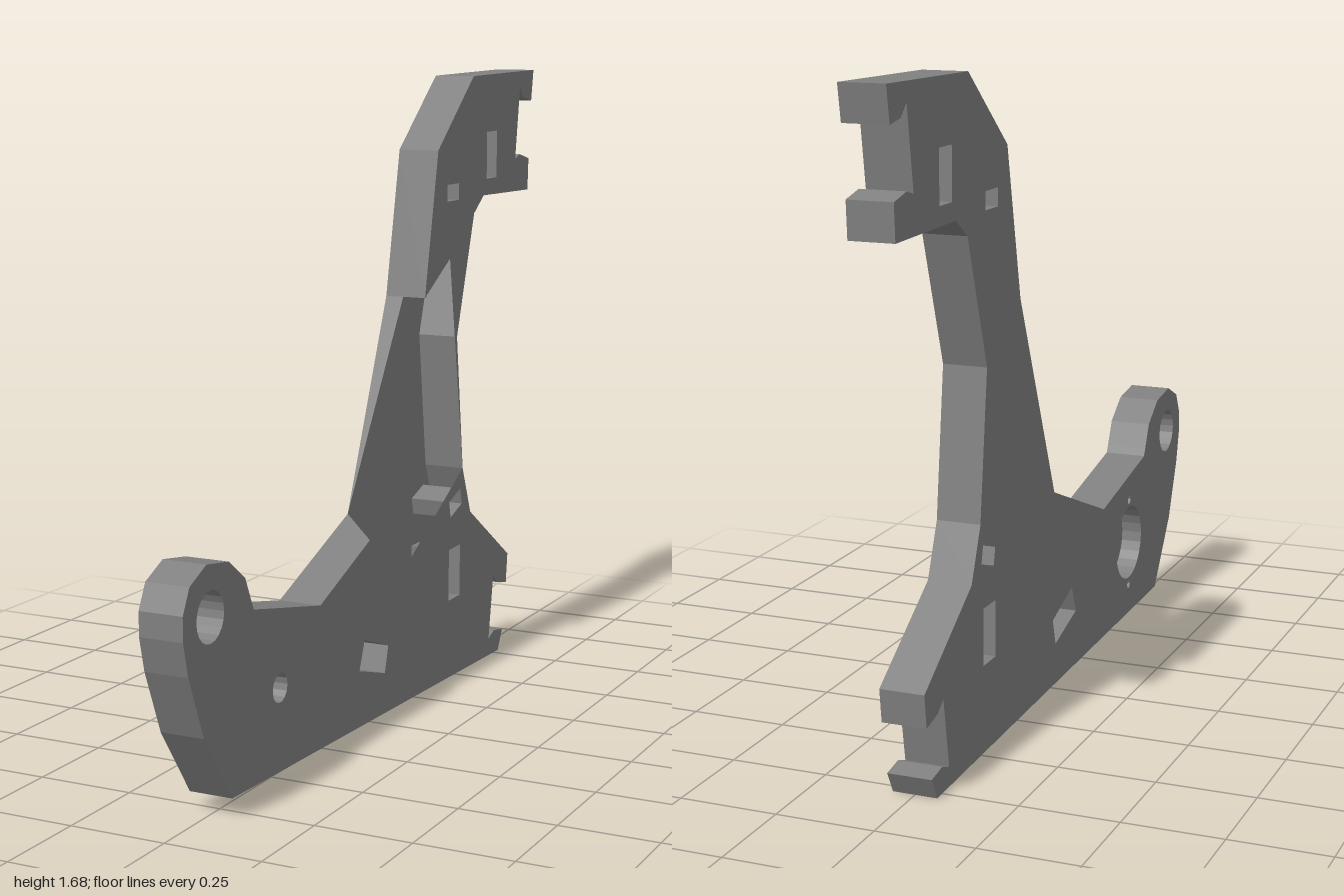
import * as THREE from 'three';

const T = 0.057;          // half thickness of the plate
const BORE = 0.0;         // depth plane of the counterbore floor

// Profile points are [u, y], with u running towards the back (u = -z).
const chain = {
  lower: [[-0.345, 0.405], [-0.68, 0.475], [-0.69, 0.495], [-0.72, 0.56], [-0.795, 0.615], [-0.895, 0.63],
    [-0.97, 0.595], [-1, 0.535], [-1, 0.475], [-0.98, 0.39], [-0.915, 0.23], [-0.79, 0.05], [0.78, 0.003],
    [0.81, 0.06], [0.75, 0.07], [0.71, 0.055], [0.74, 0.235], [0.77, 0.21], [0.835, 0.195], [0.845, 0.28],
    [0.57, 0.46], [0.515, 0.595]],
  upper: [[0.47, 0.97], [0.58, 1.3], [0.645, 1.345], [0.965, 1.34], [0.97, 1.43], [0.905, 1.445], [0.87, 1.435],
    [0.9, 1.635], [0.93, 1.605], [0.985, 1.595], [1, 1.683], [0.57, 1.675], [0.34, 1.485], [0.26, 1.1]],
};
const neck = [0.03, 0.55], lip = [-0.07, 0.512];

const rect = (u0, y0, u1, y1) => [[u0, y0], [u0, y1], [u1, y1], [u1, y0]];
const circle = (u, y, r, n) => Array.from({ length: n }, (_, i) => {
  const a = -2 * Math.PI * i / n;
  return [u + r * Math.cos(a), y + r * Math.sin(a)];
});
const pivot = circle(-0.88, 0.505, 0.062, 20);
const bolt = circle(-0.555, 0.252, 0.037, 14);
const bore = circle(-0.555, 0.252, 0.105, 24);
const pins = [0.125, -0.125].map(d => circle(-0.555, 0.252 + d, 0.012, 8));
const lowSlots = [
  [[-0.1, 0.255], [0.04, 0.205], [0.02, 0.135], [-0.13, 0.18]],
  [[0.425, 0.515], [0.5, 0.54], [0.51, 0.495], [0.435, 0.47]],
  rect(0.425, 0.235, 0.5, 0.38),
];
const highSlots = [rect(0.4, 1.345, 0.475, 1.39), rect(0.665, 1.39, 0.735, 1.52)];

const vec = pts => pts.map(p => new THREE.Vector2(p[0], p[1]));

// Flat sheet at a given x, facing +x or -x
function sheet(outline, holes, x, faceLeft) {
  const shape = new THREE.Shape(vec(outline));
  shape.holes = holes.map(h => new THREE.Path(vec(h)));
  const g = new THREE.ShapeGeometry(shape);
  if (!faceLeft) {
    const id = g.index.array;
    for (let i = 0; i < id.length; i += 3) [id[i], id[i + 1]] = [id[i + 1], id[i]];
    g.computeVertexNormals();
  }
  return g.rotateY(Math.PI / 2).translate(x, 0, 0);
}

// Flat-shaded convex polygons, each corner [u, y, x]
function panels(polys) {
  const v = [];
  for (const p of polys)
    for (let i = 1; i < p.length - 1; i++)
      for (const [u, y, x] of [p[0], p[i], p[i + 1]]) v.push(x, y, -u);
  const g = new THREE.BufferGeometry();
  g.setAttribute('position', new THREE.Float32BufferAttribute(v, 3));
  g.computeVertexNormals();
  return g;
}

// Straight wall between two x planes along a chain of points
function wall(pts, x0, x1, closed) {
  const n = closed ? pts.length : pts.length - 1;
  return panels(Array.from({ length: n }, (_, i) => {
    const a = pts[i], b = pts[(i + 1) % pts.length];
    return [[...a, x0], [...b, x0], [...b, x1], [...a, x1]];
  }));
}

export function createModel() {
  const steel = new THREE.MeshStandardMaterial({ color: 0x808080, side: THREE.DoubleSide });
  steel.name = 'grey steel';
  const group = new THREE.Group();
  group.name = 'bracketPlate';
  const add = (name, geometry) => {
    const m = new THREE.Mesh(geometry, steel);
    m.name = name;
    group.add(m);
  };

  // Right face: whole plate with the counterbore
  const rim = [...chain.lower, ...chain.upper];
  add('rightFace', sheet([...rim, neck], [pivot, bore, ...pins, ...lowSlots, ...highSlots], -T, false));

  // Left face: base and arm, with the open pocket between them
  const base = [...chain.lower, [-0.099, 0.26], lip];
  add('leftBaseFace', sheet(base, [pivot, bolt, ...lowSlots], T, true));
  const arm = [chain.lower[chain.lower.length - 1], ...chain.upper, [0.42, 1.19]];
  add('leftArmFace', sheet(arm, highSlots, T, true));

  // Outer edge, cut away beside the pocket
  add('outerEdge', wall(rim, -T, T, false));
  const top = chain.upper[chain.upper.length - 1], start = chain.lower[0];
  add('pocketEdge', panels([
    [[...top, -T], [...neck, -T], [...top, -0.007]],
    [[...neck, -T], [...start, -T], [...start, T], [...lip, T]],
  ]));

  // Walls of the through holes
  [...lowSlots, ...highSlots].forEach((s, i) => add('slotWall' + (i + 1), wall(s, -T, T, true)));
  add('pivotHoleWall', wall(pivot, -T, T, true));

  // Counterbored bolt hole and its locating pin holes
  add('counterboreWall', wall(bore, -T, BORE, true));
  add('counterboreFloor', sheet(bore, [bolt], BORE, false));
  add('boltHoleWall', wall(bolt, BORE, T, true));
  pins.forEach((p, i) => {
    add('pinHoleWall' + (i + 1), wall(p, -T, BORE, true));
    add('pinHoleFloor' + (i + 1), sheet(p, [], BORE, false));
  });
  return group;
}
